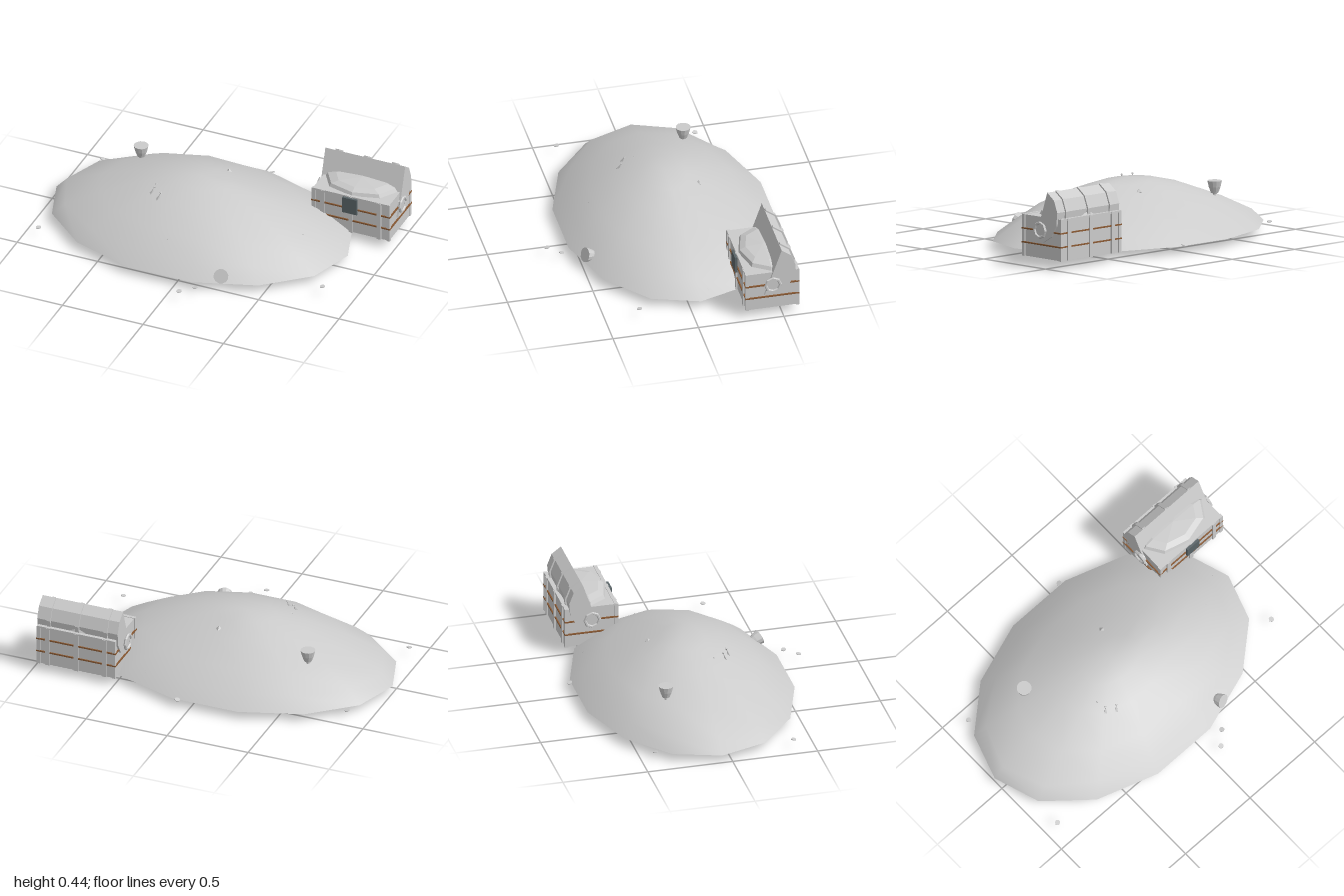
import * as THREE from 'three';

const grey = new THREE.MeshStandardMaterial({ color: 0xcccccc });
const flat = new THREE.MeshStandardMaterial({ color: 0xcccccc, flatShading: true });
const thin = new THREE.MeshStandardMaterial({ color: 0xcccccc, side: THREE.DoubleSide });
const brown = new THREE.MeshStandardMaterial({ color: 0x8a5a34 });
const slate = new THREE.MeshStandardMaterial({ color: 0x5a6468 });

function add(parent, name, geometry, material, x = 0, y = 0, z = 0) {
  const mesh = new THREE.Mesh(geometry, material);
  mesh.name = name;
  mesh.position.set(x, y, z);
  parent.add(mesh);
  return mesh;
}

// Mound: centre, radii and [fraction of radius, height, dent towards the chest] rings
const CX = -0.095, CZ = -0.06, RX = 0.905, RZ = 0.625, SIDES = 14;
const RINGS = [[0.2, 0.335, 0.012], [0.41, 0.29, 0.025], [0.68, 0.205, 0.02], [0.87, 0.11, 0], [1, 0.04, 0]];
const ringHeight = (ring, a) => ring[1] - ring[2] * Math.max(0, Math.cos(a + 0.95)) ** 4;

function moundHeight(x, z) {
  const dx = (x - CX) / RX, dz = (z - CZ) / RZ;
  const f = Math.hypot(dx, dz), a = Math.atan2(dz, dx);
  let f0 = 0, y0 = 0.35;
  for (const ring of RINGS) {
    const y = ringHeight(ring, a);
    if (f <= ring[0]) return y0 + (y - y0) * (f - f0) / (ring[0] - f0);
    f0 = ring[0];
    y0 = y;
  }
  return 0.04;
}

function moundGeometry() {
  const pos = [CX, 0.35, CZ], index = [];
  RINGS.forEach((ring, k) => {
    for (let i = 0; i < SIDES; i++) {
      const a = i / SIDES * Math.PI * 2, c = Math.cos(a);
      const r = ring[0] + (k === 3 ? 0.06 * Math.max(0, -c) ** 3 : 0); // fuller on one side
      pos.push(CX + RX * r * c, ringHeight(ring, a), CZ + RZ * r * Math.sin(a));
      const j = (i + 1) % SIDES, b = 1 + k * SIDES;
      if (k === 0) index.push(0, 1 + j, 1 + i);
      else index.push(b - SIDES + i, b - SIDES + j, b + i, b - SIDES + j, b + j, b + i);
    }
  });
  const g = new THREE.BufferGeometry();
  g.setAttribute('position', new THREE.Float32BufferAttribute(pos, 3));
  g.setIndex(index);
  g.computeVertexNormals();
  return g;
}

// Half-round lid section, tilted open, extruded along x
function lidGeometry(width, half, depth, shift = 0) {
  const u = [-0.325, 0.945], n = [-0.945, -0.325], pts = [];
  for (let i = 0; i <= 6; i++) {
    const t = i / 6 * Math.PI, a = half * Math.cos(t), b = depth * Math.sin(t) + shift;
    pts.push(new THREE.Vector2(-0.4425 + u[0] * a + n[0] * b, 0.2875 + u[1] * a + n[1] * b));
  }
  const g = new THREE.ExtrudeGeometry(new THREE.Shape(pts), { depth: width, bevelEnabled: false });
  return g.translate(0, 0, -width / 2).rotateY(-Math.PI / 2);
}

function makeChest() {
  const chest = new THREE.Group();
  chest.name = 'chest';
  const x = 0.73, z = -0.44;
  add(chest, 'chestBody', new THREE.BoxGeometry(0.474, 0.238, 0.302), grey, x, 0.165, z);
  add(chest, 'chestLid', lidGeometry(0.496, 0.153, 0.13), flat, x);
  for (const dx of [-0.175, 0, 0.175]) {
    add(chest, 'lidStrap', lidGeometry(0.022, 0.161, 0.138, 0.002), flat, x + dx);
    for (const s of [-1, 1])
      add(chest, 'bodyStrap', new THREE.BoxGeometry(0.026, 0.24, 0.012), grey, x + dx, 0.165, z + s * 0.154);
  }
  // Corner posts and rim
  for (const sx of [-1, 1]) for (const sz of [-1, 1])
    add(chest, 'cornerPost', new THREE.BoxGeometry(0.02, 0.242, 0.02), grey, x + sx * 0.232, 0.165, z + sz * 0.147);
  for (const s of [-1, 1]) {
    add(chest, 'rimLong', new THREE.BoxGeometry(0.48, 0.012, 0.02), grey, x, 0.281, z + s * 0.146);
    // Ring handles on the ends
    const ring = add(chest, 'handle', new THREE.TorusGeometry(0.043, 0.009, 6, 8), flat, x + s * 0.256, 0.21, z);
    ring.rotation.y = Math.PI / 2;
    const plate = add(chest, 'handlePlate', new THREE.CylinderGeometry(0.036, 0.036, 0.016, 8), flat, x + s * 0.246, 0.21, z);
    plate.rotation.z = Math.PI / 2;
  }
  for (const y of [0.125, 0.205])
    add(chest, 'band', new THREE.BoxGeometry(0.49, 0.008, 0.316), brown, x, y, z);
  add(chest, 'lock', new THREE.BoxGeometry(0.09, 0.1, 0.014), slate, x, 0.231, -0.274);
  // Treasure filling the chest
  const heapProfile = [[1, 0], [0.93, 0.5], [0.7, 0.82], [0, 1]].map(p => new THREE.Vector2(...p));
  const heap = add(chest, 'chestTreasure', new THREE.LatheGeometry(heapProfile, 8), flat, x, 0.28, z);
  heap.scale.set(0.225, 0.048, 0.145);
  return chest;
}

// Goblet with its mouth at the local origin, pointing up
function makeGoblet(dir, x, y, z) {
  const pts = [[0, -0.18], [0.034, -0.18], [0.032, -0.171], [0.009, -0.16], [0.009, -0.075],
    [0.022, -0.07], [0.035, -0.035], [0.043, 0], [0, 0]].map(p => new THREE.Vector2(...p));
  const goblet = add(new THREE.Group(), 'goblet', new THREE.LatheGeometry(pts, 12), flat, x, y, z);
  goblet.quaternion.setFromUnitVectors(new THREE.Vector3(0, 1, 0), new THREE.Vector3(...dir).normalize());
  return goblet;
}

function makeCrown() {
  const crown = new THREE.Group();
  crown.name = 'crown';
  add(crown, 'crownBand', new THREE.CylinderGeometry(0.073, 0.07, 0.022, 14, 1, true), thin);
  for (let i = 0; i < 7; i++) {
    const a = i / 7 * Math.PI * 2, c = Math.cos(a) * 0.073, s = Math.sin(a) * 0.073;
    add(crown, 'crownPoint', new THREE.ConeGeometry(0.013, 0.055, 4), flat, c, 0.035, s);
    add(crown, 'crownBead', new THREE.OctahedronGeometry(0.008), flat, c, 0.063, s);
  }
  crown.position.set(-0.275, 0.236, 0.11);
  crown.rotation.set(-0.3, 0.2, -0.3);
  return crown;
}

export function createModel() {
  const model = new THREE.Group();
  model.name = 'treasurePile';
  add(model, 'mound', moundGeometry(), thin);
  model.add(makeChest(), makeCrown());
  model.add(makeGoblet([0, 1, 0], -0.57, 0.3, -0.28));
  model.add(makeGoblet([0.28, 0.33, 0.9], 0.262, 0.085, 0.49));

  let seed = 7;
  const rand = () => (seed = (seed * 16807) % 2147483647) / 2147483647;

  // Loose coins around the foot of the mound
  const coin = new THREE.CylinderGeometry(0.015, 0.015, 0.004, 10);
  for (const [x, z] of [[0.07, -0.68], [-0.87, -0.42], [-0.92, 0.38], [0.15, 0.6], [0.08, 0.67], [0.81, 0.3]])
    add(model, 'looseCoin', coin, flat, x, 0.046, z).rotation.set(rand() * 0.6 - 0.3, 0, rand() * 0.6 - 0.3);

  // Coins half buried just under the surface
  for (let i = 0; i < 36; i++) {
    const a = i * 2.4, f = 0.95 * Math.sqrt((i + 0.5) / 36);
    const x = CX + RX * f * Math.cos(a), z = CZ + RZ * f * Math.sin(a), e = 0.02;
    const up = new THREE.Vector3(moundHeight(x - e, z) - moundHeight(x + e, z), 2 * e,
      moundHeight(x, z - e) - moundHeight(x, z + e));
    up.x += (rand() - 0.5) * 0.02;
    up.z += (rand() - 0.5) * 0.02;
    const c = add(model, 'buriedCoin', coin, flat, x, moundHeight(x, z) - 0.013, z);
    c.quaternion.setFromUnitVectors(new THREE.Vector3(0, 1, 0), up.normalize());
  }

  // Gems
  const gem = new THREE.OctahedronGeometry(0.02);
  for (const [x, z, lift] of [[-0.005, -0.24, -0.004], [0.42, -0.2, -0.025], [-0.3, -0.38, -0.025], [-0.62, 0.1, -0.025]])
    add(model, 'gem', gem, flat, x, moundHeight(x, z) + lift, z);
  return model;
}
